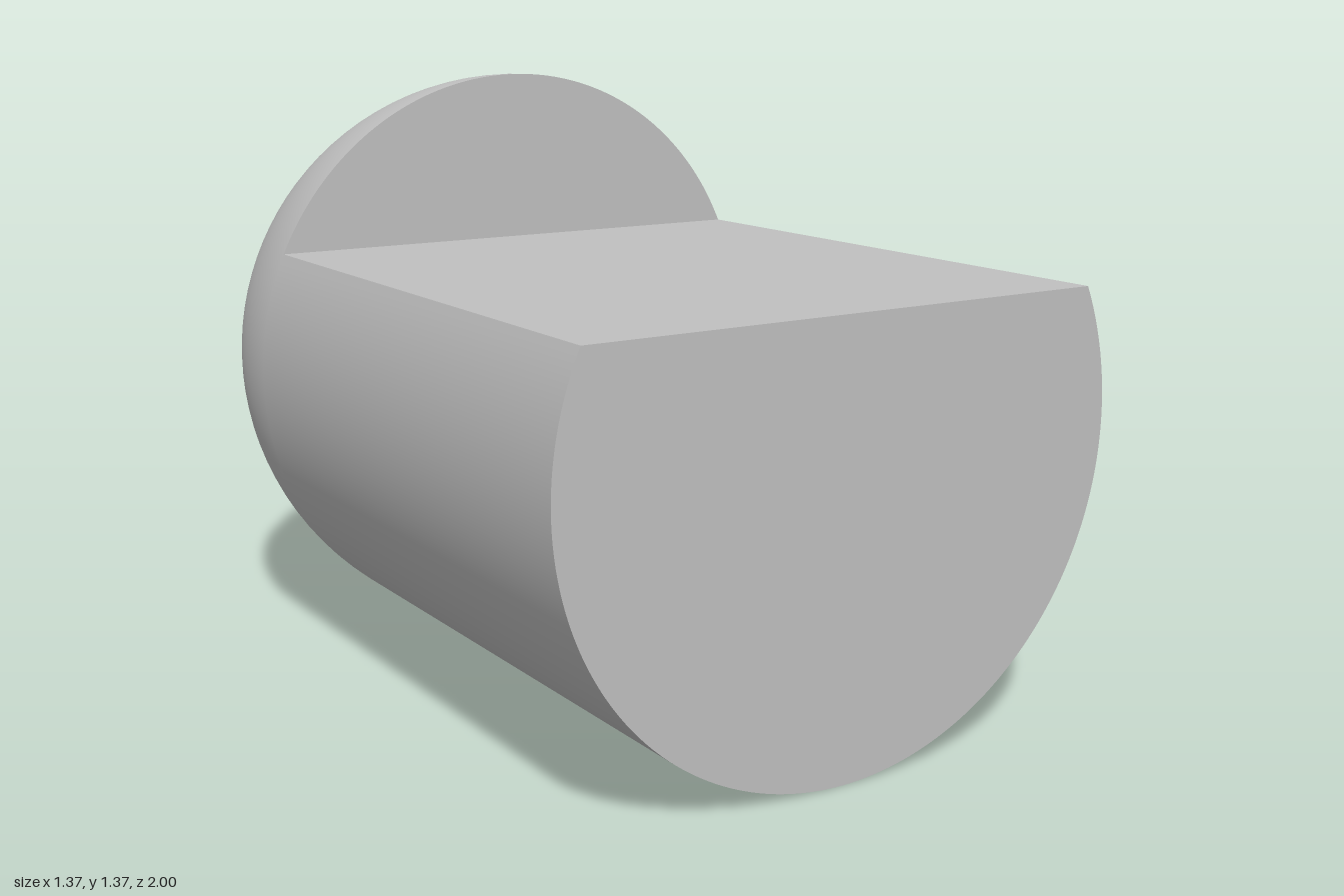
import * as THREE from 'three';
import { toCreasedNormals } from 'three/addons/utils/BufferGeometryUtils.js';

const R = 0.684;       // radius of barrel and dome
const FLAT = 0.968;    // height of the flat cut
const SPLIT = -0.316;  // where the barrel meets the dome

export function createModel() {
  const group = new THREE.Group();
  const grey = new THREE.MeshStandardMaterial({ color: 0xc0c0c0 });
  grey.name = 'light grey';

  const add = (name, geometry, z) => {
    const mesh = new THREE.Mesh(geometry, grey);
    mesh.name = name;
    mesh.position.set(0, R, z);
    group.add(mesh);
  };

  // Angle at which the flat cut meets the round wall
  const cut = Math.asin((FLAT - R) / R);

  // Barrel: circle with its top sliced off, drawn out to the front
  const section = new THREE.Shape();
  section.absarc(0, 0, R, Math.PI - cut, 2 * Math.PI + cut, false);
  section.closePath();
  const barrel = new THREE.ExtrudeGeometry(section, {
    depth: 1 - SPLIT, bevelEnabled: false, curveSegments: 80,
  });
  add('barrel', toCreasedNormals(barrel, 0.5), SPLIT);

  // Rounded back end
  const dome = new THREE.SphereGeometry(R, 96, 32, 0, Math.PI * 2, 0, Math.PI / 2);
  dome.rotateX(-Math.PI / 2);
  add('dome', dome, SPLIT);

  // Upright step face above the flat cut
  const step = new THREE.Shape();
  step.absarc(0, 0, R, cut, Math.PI - cut, false);
  step.closePath();
  add('stepFace', new THREE.ShapeGeometry(step, 48), SPLIT);

  return group;
}
